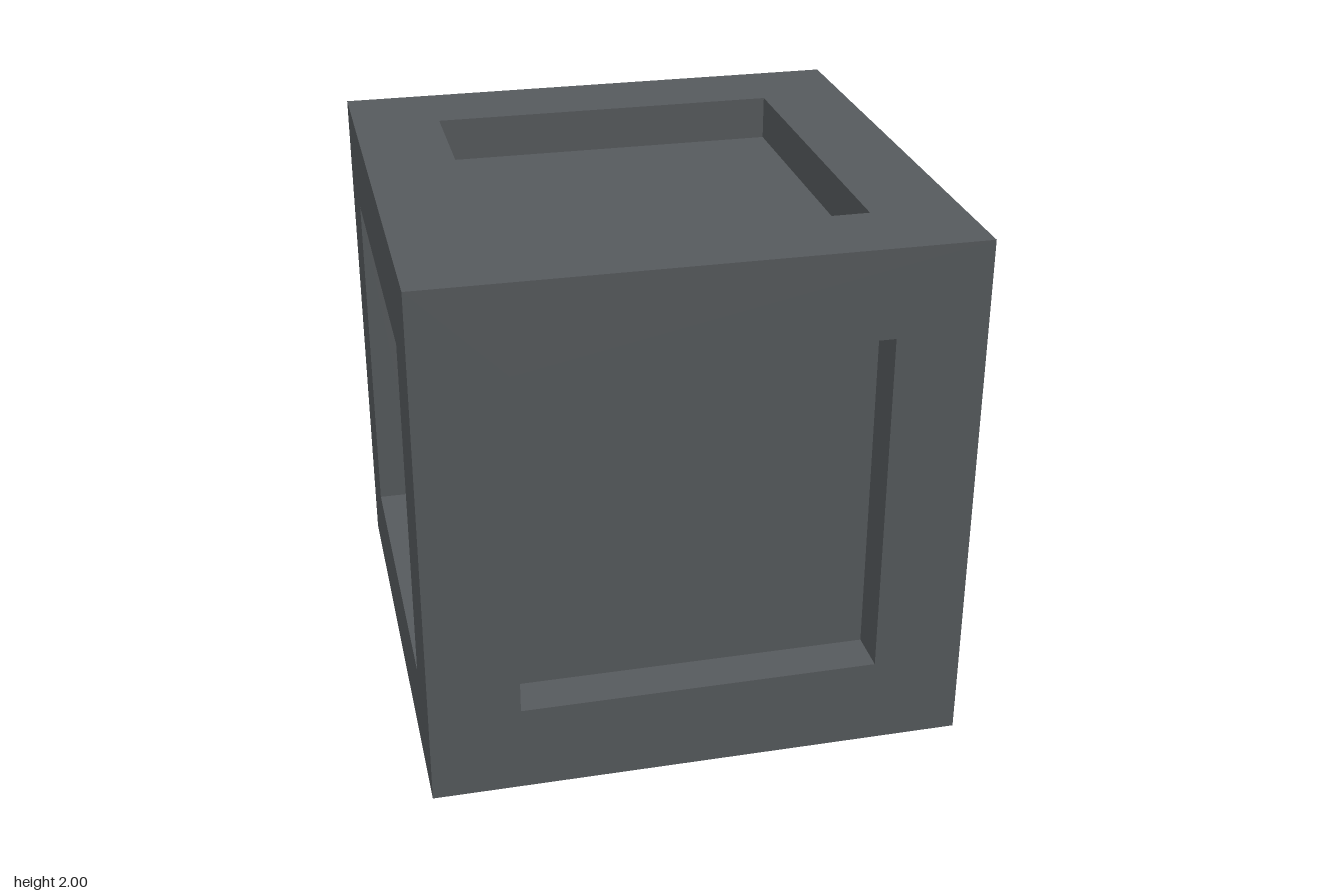
import * as THREE from 'three';

const HALF = 1;          // half the cube's edge
const INNER = 2 / 3;     // half the recessed panel's edge
const DEPTH = 1 / 6;     // how far each panel is sunk

const slate = new THREE.MeshStandardMaterial({ color: 0x565a5d });
slate.name = 'slate grey';

function square(path, r) {
  path.moveTo(-r, -r);
  path.lineTo(r, -r);
  path.lineTo(r, r);
  path.lineTo(-r, r);
  path.closePath();
  return path;
}

function addPart(parent, name, geometry) {
  const mesh = new THREE.Mesh(geometry, slate);
  mesh.name = name;
  parent.add(mesh);
  return mesh;
}

// One side of the cube, facing +z: a flat border around a sunken panel
function createSide(name) {
  const side = new THREE.Group();
  side.name = name;

  const outline = square(new THREE.Shape(), HALF);
  outline.holes.push(square(new THREE.Path(), INNER));
  addPart(side, 'border', new THREE.ShapeGeometry(outline).translate(0, 0, HALF));

  addPart(side, 'sunkenPanel',
    new THREE.PlaneGeometry(INNER * 2, INNER * 2).translate(0, 0, HALF - DEPTH));

  // Four recess walls facing inwards
  for (let i = 0; i < 4; i++) {
    addPart(side, 'recessWall', new THREE.PlaneGeometry(INNER * 2, DEPTH)
      .rotateX(-Math.PI / 2)
      .translate(0, -INNER, HALF - DEPTH / 2)
      .rotateZ(i * Math.PI / 2));
  }
  return side;
}

export function createModel() {
  const cube = new THREE.Group();
  cube.name = 'panelledCube';

  const q = Math.PI / 2;
  const sides = [
    ['frontSide', 0, 0], ['leftSide', 0, q], ['backSide', 0, 2 * q],
    ['rightSide', 0, -q], ['topSide', -q, 0], ['bottomSide', q, 0],
  ];
  for (const [name, rx, ry] of sides) {
    const side = createSide(name);
    side.rotation.set(rx, ry, 0);
    side.position.y = HALF;
    cube.add(side);
  }
  return cube;
}
